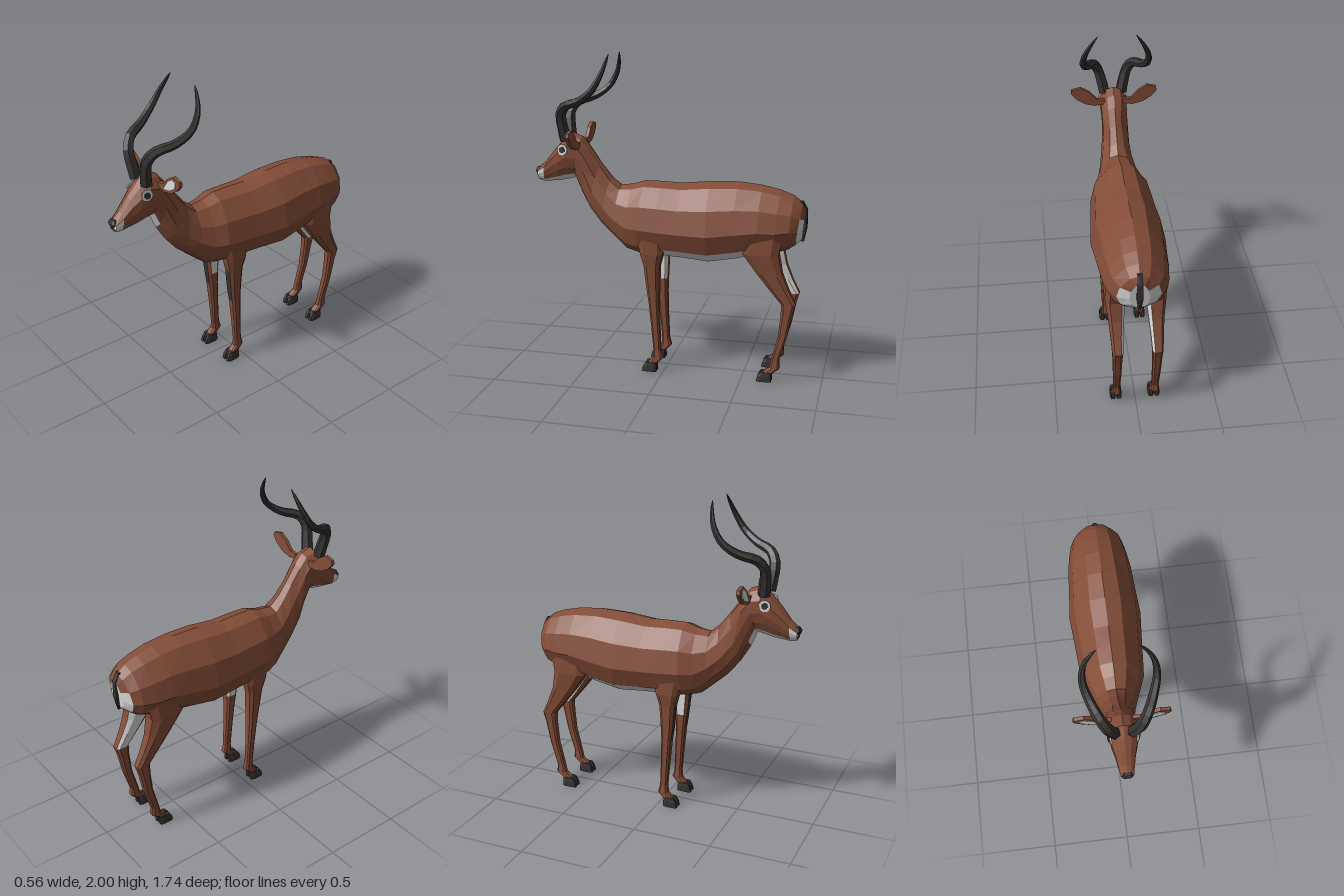
import * as THREE from 'three';

const mat = (name, color) => Object.assign(new THREE.MeshStandardMaterial({ color }), { name });
const MATS = [mat('russet coat', 0x844d38), mat('white fur', 0xdcdcdc), mat('charcoal horn', 0x373433)];
const [COAT, WHITE, DARK] = [0, 1, 2];

// Skin closed rings of points with flat facets; pick(i, j) chooses the colour of each quad.
function loft(name, rings, pick, capA = COAT, capB = COAT) {
  const bins = MATS.map(() => []);
  const tri = (m, a, b, c) => bins[m].push([a, b, c]);
  const n = rings[0].length;
  for (let i = 0; i < rings.length - 1; i++) {
    for (let j = 0; j < n; j++) {
      const k = (j + 1) % n, m = pick(i, j);
      const a = rings[i][j], b = rings[i][k], c = rings[i + 1][k], d = rings[i + 1][j];
      tri(m, a, b, c);
      tri(m, a, c, d);
    }
  }
  const cap = (ring, m, flip) => {
    const mid = ring.reduce((s, p) => s.add(p), new THREE.Vector3()).divideScalar(n);
    ring.forEach((p, j) => {
      const q = ring[(j + 1) % n];
      flip ? tri(m, mid, q, p) : tri(m, mid, p, q);
    });
  };
  cap(rings[0], capA, true);
  cap(rings[rings.length - 1], capB, false);

  // Turn the faces outward whichever way the rings run
  let volume = 0;
  bins.flat().forEach(([a, b, c]) => { volume += a.dot(b.clone().cross(c)); });
  const geo = new THREE.BufferGeometry(), pos = [];
  bins.forEach((tris, m) => {
    if (!tris.length) return;
    geo.addGroup(pos.length / 3, tris.length * 3, m);
    tris.forEach(([a, b, c]) => (volume < 0 ? [a, c, b] : [a, b, c]).forEach(p => pos.push(p.x, p.y, p.z)));
  });
  geo.setAttribute('position', new THREE.Float32BufferAttribute(pos, 3));
  geo.computeVertexNormals();
  const mesh = new THREE.Mesh(geo, MATS);
  mesh.name = name;
  return mesh;
}

// Half outlines: [share of height from the top, share of half width]
const TRUNK = [[0, 0], [.06, .42], [.3, .85], [.6, 1], [.84, .8], [.96, .42], [1, 0]];
const HEAD = [[0, 0], [.06, .5], [.25, .95], [.5, .95], [.72, .75], [.88, .5], [1, 0]];

// Rump to muzzle: [top z, top y, bottom z, bottom y, half width]
const STATIONS = [
  [-.866, 1.08, -.845, .89, .06], [-.845, 1.12, -.81, .86, .13], [-.79, 1.165, -.77, .83, .17],
  [-.71, 1.195, -.69, .80, .19], [-.6, 1.22, -.58, .79, .205], [-.45, 1.235, -.45, .75, .215],
  [-.28, 1.23, -.28, .72, .23], [-.1, 1.21, -.1, .735, .215], [.03, 1.215, .05, .74, .205],
  [.14, 1.215, .17, .75, .195], [.22, 1.19, .25, .77, .165], [.30, 1.18, .33, .84, .135],
  [.36, 1.23, .42, .92, .11], [.43, 1.32, .50, 1.02, .092], [.50, 1.42, .56, 1.12, .085],
  [.55, 1.48, .60, 1.215, .088], [.62, 1.505, .66, 1.2, .09], [.68, 1.45, .71, 1.19, .08],
  [.74, 1.385, .76, 1.185, .062], [.80, 1.31, .805, 1.18, .05], [.85, 1.265, .845, 1.19, .04],
];

function body() {
  const rings = STATIONS.map(([tz, ty, bz, by, w], i) => {
    const half = i >= 14 ? HEAD : TRUNK;
    const point = ([t, f], s) => new THREE.Vector3(s * f * w, ty + (by - ty) * t, tz + (bz - tz) * t);
    return [...half.map(p => point(p, 1)), ...half.slice(1, 6).reverse().map(p => point(p, -1))];
  });
  return loft('body', rings, (i, j) => {
    const band = j < 6 ? j : 11 - j;
    if (i === 0) return band > 1 ? WHITE : COAT;                // rump patch
    if (i >= 4 && i <= 7) return band >= 4 ? WHITE : COAT;      // belly
    if (i === 19) return band >= 2 ? WHITE : COAT;              // muzzle
    return i >= 14 && band === 5 ? WHITE : COAT;                // throat and jaw
  }, WHITE, WHITE);
}

// Boxy eight-sided ring lying flat: [y, centre z, half depth, centre x, half width]
function flatRing([y, z, rz, x, rx], side) {
  const soft = v => Math.sign(v) * Math.abs(v) ** .6;
  return Array.from({ length: 8 }, (_, j) => {
    const a = (j - .5) * Math.PI / 4;
    return new THREE.Vector3(side * (x + rx * soft(Math.sin(a))), y, z + rz * soft(Math.cos(a)));
  });
}

const FRONT_LEG = [
  [.95, .08, .1, .12, .06], [.78, .07, .075, .13, .05], [.7, .07, .053, .125, .043],
  [.55, .065, .042, .12, .037], [.46, .06, .034, .12, .033], [.3, .05, .028, .12, .027],
  [.14, .04, .025, .12, .022], [.09, .035, .034, .12, .026], [.045, .08, .035, .12, .03],
];
const HIND_LEG = [
  [1, -.62, .14, .11, .07], [.82, -.61, .115, .12, .065], [.7, -.665, .082, .12, .05],
  [.6, -.725, .062, .12, .04], [.51, -.785, .046, .12, .034], [.44, -.775, .036, .12, .03],
  [.3, -.755, .029, .12, .026], [.14, -.712, .026, .12, .022], [.09, -.71, .033, .12, .026],
  [.045, -.655, .035, .12, .03],
];

function leg(name, rows, side, hind) {
  const g = new THREE.Group();
  g.name = name;
  g.add(loft('limb', rows.map(r => flatRing(r, side)), (i, j) => {
    const y = rows[i][0];
    if (!hind && j === 0 && y <= .7 && y > .46) return DARK;    // shin blaze
    if ((j === 5 || j === 6) && y > .55) return WHITE;          // inner side
    return j === 4 && y < .1 ? WHITE : COAT;                    // pastern
  }));
  // Cloven hoof
  const z = rows[rows.length - 1][1];
  for (const x of [.101, .139]) {
    const toe = [[.06, z, .034, x, .014], [.035, z + .006, .044, x, .018], [0, z + .01, .05, x, .0185]];
    g.add(loft('hoof', toe.map(r => flatRing(r, side)), () => DARK, DARK, DARK));
  }
  return g;
}

// Curved, tapering horn
function horn(side) {
  const path = new THREE.CatmullRomCurve3([
    [.055, 1.46, .645], [.07, 1.53, .655], [.095, 1.62, .66], [.13, 1.68, .62], [.175, 1.715, .52],
    [.203, 1.78, .43], [.19, 1.87, .375], [.15, 1.95, .35], [.117, 2, .34],
  ].map(([x, y, z]) => new THREE.Vector3(side * x, y, z)));
  const n = 18, frames = path.computeFrenetFrames(n);
  const rings = Array.from({ length: n + 1 }, (_, i) => {
    const r = .037 * (1 - i / n) ** .6 + .002, c = path.getPointAt(i / n);
    return Array.from({ length: 6 }, (_, j) => c.clone()
      .addScaledVector(frames.normals[i], r * Math.cos(j * Math.PI / 3))
      .addScaledVector(frames.binormals[i], r * Math.sin(j * Math.PI / 3)));
  });
  return loft('horn', rings, () => DARK, DARK, DARK);
}

// Leaf-shaped ear with a pale inner plate
function ear(side) {
  const g = new THREE.Group();
  g.name = 'ear';
  const plate = (name, pts, depth, z, m) => {
    const shape = new THREE.Shape(pts.map(([x, y]) => new THREE.Vector2(side * x, y)));
    const mesh = new THREE.Mesh(new THREE.ExtrudeGeometry(shape, { depth, bevelEnabled: false }), MATS[m]);
    mesh.name = name;
    mesh.position.z = z;
    g.add(mesh);
  };
  plate('earShell', [[.06, 1.42], [.12, 1.41], [.19, 1.428], [.245, 1.465], [.278, 1.505],
    [.272, 1.53], [.215, 1.543], [.16, 1.51], [.11, 1.455], [.06, 1.45]], .022, .55, COAT);
  plate('innerEar', [[.115, 1.428], [.18, 1.442], [.235, 1.477], [.243, 1.515], [.21, 1.526],
    [.165, 1.495]], .004, .572, WHITE);
  return g;
}

// Thin round eye plates
function eye(side) {
  const g = new THREE.Group();
  g.name = 'eye';
  const normal = new THREE.Vector3(side, .05, .2).normalize();
  [['eyeRing', .036, 0, WHITE], ['pupil', .02, .006, DARK]].forEach(([name, r, out, m]) => {
    const disc = new THREE.Mesh(new THREE.CylinderGeometry(r, r, .009, 8), MATS[m]);
    disc.name = name;
    disc.quaternion.setFromUnitVectors(new THREE.Vector3(0, 1, 0), normal);
    disc.position.set(side * .082, 1.4, .66).addScaledVector(normal, out);
    g.add(disc);
  });
  return g;
}

export function createModel() {
  const model = new THREE.Group();
  model.name = 'antelope';
  model.add(body());
  for (const side of [1, -1]) {
    const s = side > 0 ? 'left' : 'right';
    model.add(leg(s + 'FrontLeg', FRONT_LEG, side, false), leg(s + 'HindLeg', HIND_LEG, side, true));
    model.add(horn(side), ear(side), eye(side));
  }

  // Tail hanging against the rump
  const tail = [[1.13, -.835, .012, 0, .016], [1.08, -.862, .012, 0, .018], [.97, -.862, .012, 0, .02],
    [.88, -.848, .008, 0, .008]];
  model.add(loft('tail', tail.map(r => flatRing(r, 1)), () => DARK, DARK, DARK));

  // Nose and mouth
  const nose = [[1.273, .835, .02, 0, .022], [1.25, .845, .022, 0, .034], [1.228, .845, .015, 0, .016]];
  model.add(loft('nose', nose.map(r => flatRing(r, 1)), () => DARK, DARK, DARK));
  const mouth = new THREE.Mesh(new THREE.BoxGeometry(.05, .008, .012), MATS[DARK]);
  mouth.name = 'mouth';
  mouth.position.set(0, 1.211, .845);
  model.add(mouth);
  return model;
}
